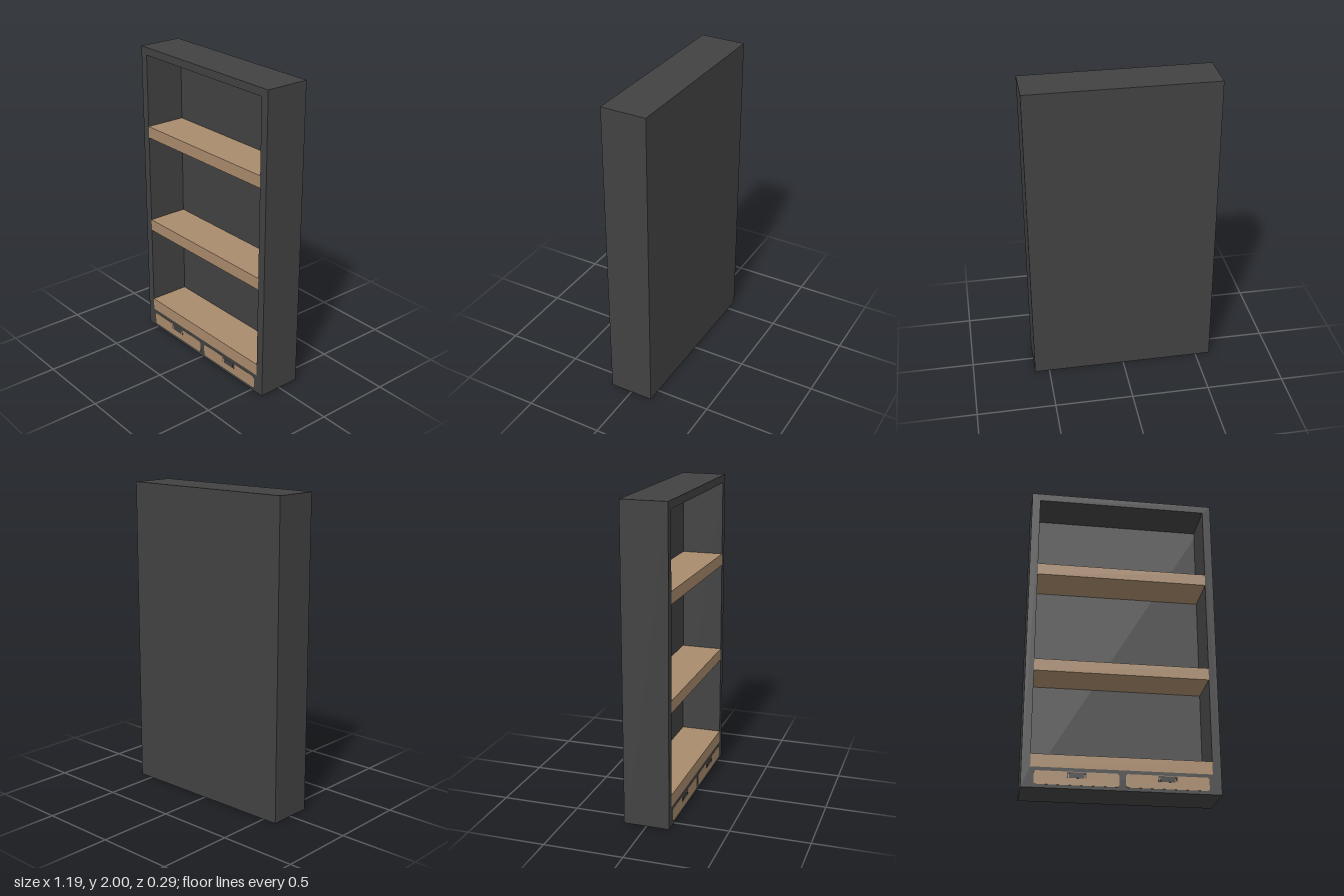
import * as THREE from 'three';

const W = 1.19, H = 2, D = 0.29;   // overall size
const BACK = 0.02;                 // back panel thickness
const IN = 0.542, TOP = 1.95, FLOOR = 0.125; // opening half width, top and bottom
const FRONT = D / 2;

export function createModel() {
  const charcoal = new THREE.MeshStandardMaterial({ color: 0x424242 });
  charcoal.name = 'charcoal';
  const wood = new THREE.MeshStandardMaterial({ color: 0xa98b6c });
  wood.name = 'wood';

  const model = new THREE.Group();
  model.name = 'bookcase';

  const add = (parent, name, geometry, material, x, y, z) => {
    const mesh = new THREE.Mesh(geometry, material);
    mesh.name = name;
    mesh.position.set(x, y, z);
    parent.add(mesh);
    return mesh;
  };

  // Rectangle with clipped corners, centred on the origin
  const clipped = (w, h, c) => new THREE.Shape([
    [-w / 2 + c, -h / 2], [w / 2 - c, -h / 2], [w / 2, -h / 2 + c], [w / 2, h / 2 - c],
    [w / 2 - c, h / 2], [-w / 2 + c, h / 2], [-w / 2, h / 2 - c], [-w / 2, -h / 2 + c],
  ].map(([x, y]) => new THREE.Vector2(x, y)));
  const extrude = (shape, depth) => new THREE.ExtrudeGeometry(shape, { depth, bevelEnabled: false });

  // Carcass: sides, top and solid plinth around one opening
  const outline = new THREE.Shape([
    new THREE.Vector2(-W / 2, 0), new THREE.Vector2(W / 2, 0),
    new THREE.Vector2(W / 2, H), new THREE.Vector2(-W / 2, H),
  ]);
  outline.holes.push(new THREE.Path([
    new THREE.Vector2(-IN, FLOOR), new THREE.Vector2(-IN, TOP),
    new THREE.Vector2(IN, TOP), new THREE.Vector2(IN, FLOOR),
  ]));
  add(model, 'frame', extrude(outline, D - BACK), charcoal, 0, 0, -FRONT + BACK);
  add(model, 'backPanel', new THREE.BoxGeometry(W, H, BACK), charcoal, 0, H / 2, -FRONT + BACK / 2);

  // Shelves, flush with the front of the frame
  const shelves = [
    ['bottomShelf', FLOOR, 0.205],
    ['middleShelf', 0.735, 0.813],
    ['upperShelf', 1.4, 1.477],
  ];
  for (const [name, y0, y1] of shelves) {
    add(model, name, new THREE.BoxGeometry(IN * 2, y1 - y0, D - BACK), wood, 0, (y0 + y1) / 2, BACK / 2);
  }

  // Two drawers with small cup pulls
  for (const side of [-1, 1]) {
    const drawer = new THREE.Group();
    drawer.name = side > 0 ? 'leftDrawer' : 'rightDrawer';
    drawer.position.set(side * 0.27, 0.062, FRONT);
    add(drawer, 'drawerFront', extrude(clipped(0.5, 0.082, 0.01), 0.002), wood, 0, 0, 0);
    add(drawer, 'pullTop', new THREE.BoxGeometry(0.112, 0.009, 0.002), charcoal, 0, 0.033, 0.003);
    add(drawer, 'pullCup', new THREE.BoxGeometry(0.088, 0.026, 0.002), charcoal, 0, 0.0155, 0.003);
    for (const end of [-1, 1]) {
      add(drawer, 'pullEnd', new THREE.BoxGeometry(0.004, 0.026, 0.002), charcoal, end * 0.054, 0.0155, 0.003);
    }
    model.add(drawer);
  }

  return model;
}
